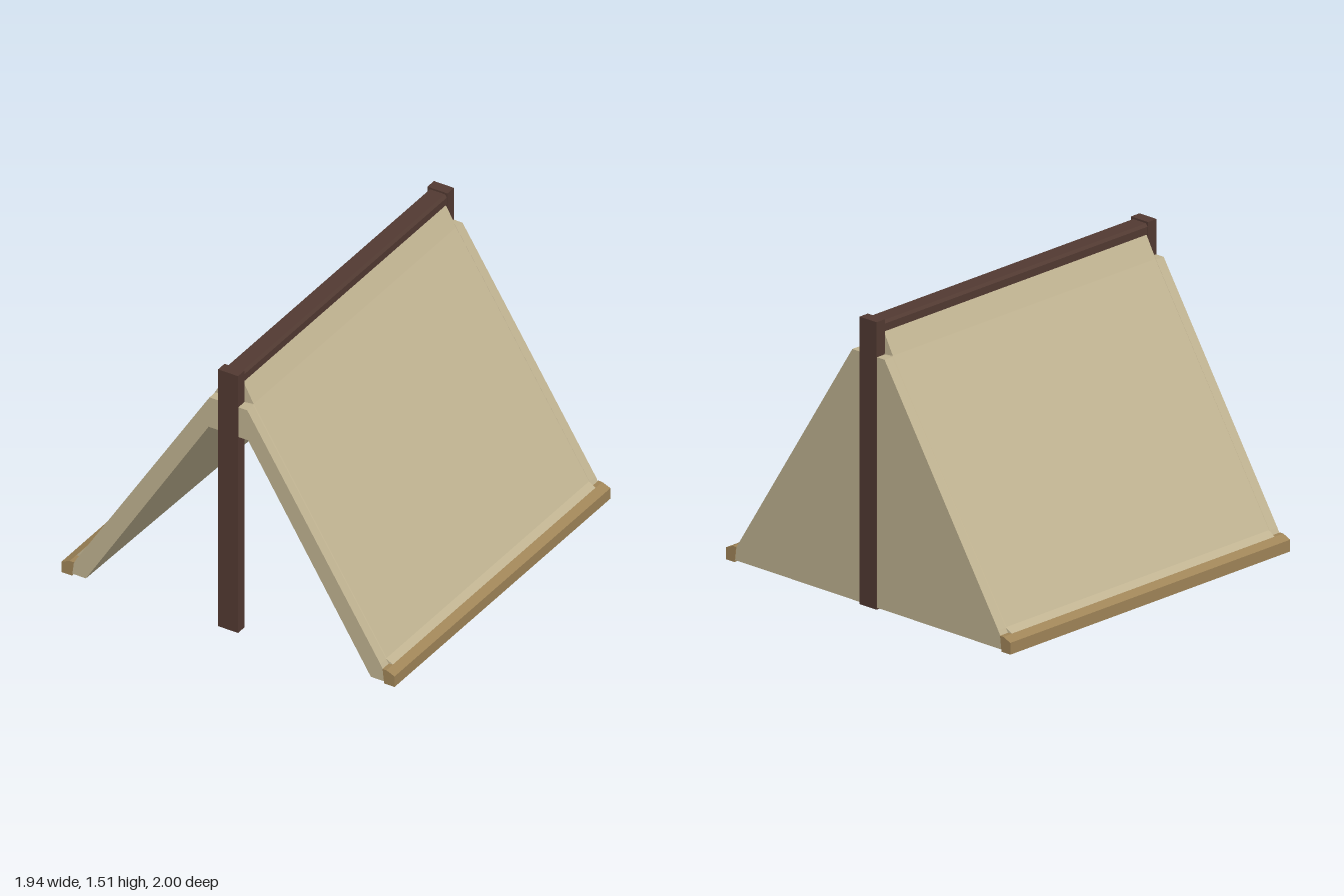
import * as THREE from 'three';

const canvas = new THREE.MeshStandardMaterial({ color: 0xc0b391 });
canvas.name = 'canvas';
const darkWood = new THREE.MeshStandardMaterial({ color: 0x523a32 });
darkWood.name = 'darkWood';
const paleWood = new THREE.MeshStandardMaterial({ color: 0xa08558 });
paleWood.name = 'paleWood';

// Completes a right-hand profile (bottom to top) with its mirrored left half
const mirrored = (half) => [...half, ...half.map(([x, y]) => [-x, y]).reverse()];
const toShape = (points) => new THREE.Shape(points.map(([x, y]) => new THREE.Vector2(x, y)));

// Skins a row of profiles [z, points], front to back, with flat faces
function loft(sections) {
  const pos = [];
  for (let s = 0; s < sections.length - 1; s++) {
    const [za, a] = sections[s];
    const [zb, b] = sections[s + 1];
    for (let i = 0; i < a.length - 1; i++) {
      pos.push(...a[i], za, ...b[i], zb, ...a[i + 1], za);
      pos.push(...a[i + 1], za, ...b[i], zb, ...b[i + 1], zb);
    }
  }
  const g = new THREE.BufferGeometry();
  g.setAttribute('position', new THREE.Float32BufferAttribute(pos, 3));
  g.computeVertexNormals();
  return g;
}

export function createModel() {
  const model = new THREE.Group();
  model.name = 'tent';
  const add = (name, geometry, material) => {
    const m = new THREE.Mesh(geometry, material);
    m.name = name;
    model.add(m);
    return m;
  };

  const END = 0.997, WALL = -0.93;
  // Canvas profiles: notched at the ends, reaching the ridge in between
  const end = mirrored([[0.91, 0.01], [0.91, 0.06], [0.885, 0.105], [0.11, 1.33], [0.05, 1.33]]);
  const mid = mirrored([[0.925, 0.01], [0.925, 0.08], [0.885, 0.107], [0.11, 1.335], [0.045, 1.455]]);
  // The inside narrows slightly towards the back wall
  const mouth = mirrored([[0.83, 0.01], [0.115, 1.155]]);
  const inner = mirrored([[0.8, 0.01], [0.1, 1.14]]);

  add('roofOutside', loft([[END, end], [0.942, end], [0.938, mid],
    [-0.938, mid], [-0.942, end], [-END, end]]), canvas);
  add('roofInside', loft([[END, [...mouth].reverse()], [WALL, [...inner].reverse()]]), canvas);

  // Front rim of the opening
  const rim = toShape([...end, ...[...mouth].reverse()]);
  add('frontRim', new THREE.ShapeGeometry(rim).translate(0, 0, END), canvas);

  // Back wall, outside and inside
  add('backWallOutside', new THREE.ShapeGeometry(toShape(end)).rotateY(Math.PI).translate(0, 0, -END), canvas);
  add('backWallInside', new THREE.ShapeGeometry(toShape(inner)).translate(0, 0, WALL), canvas);

  // Underside of the canvas walls
  const foot = toShape([[-0.92, -END], [0.92, -END], [0.92, END], [0.83, END],
    [0.8, WALL], [-0.8, WALL], [-0.83, END], [-0.92, END]]);
  add('canvasUnderside', new THREE.ShapeGeometry(foot).rotateX(Math.PI / 2).translate(0, 0.01, 0), canvas);

  // Upright poles
  for (const [name, z] of [['frontPole', 0.97], ['backPole', -0.97]]) {
    add(name, new THREE.BoxGeometry(0.116, 1.515, 0.06).translate(0, 0.7575, z), darkWood);
  }

  // Ridge pole with chamfered top
  const ridge = toShape([[-0.055, 1.45], [0.055, 1.45], [0.055, 1.49], [0.043, 1.505],
    [-0.043, 1.505], [-0.055, 1.49]]);
  add('ridgePole', new THREE.ExtrudeGeometry(ridge, { depth: 1.9, bevelEnabled: false }).translate(0, 0, -0.95), darkWood);

  // Ground beams along both sides
  const beam = toShape([[0.91, 0], [0.97, 0], [0.97, 0.062], [0.923, 0.082], [0.9, 0.082]]);
  for (const side of ['left', 'right']) {
    const g = new THREE.ExtrudeGeometry(beam, { depth: 2, bevelEnabled: false }).translate(0, 0, -1);
    if (side === 'right') g.rotateY(Math.PI);
    add(side + 'GroundBeam', g, paleWood);
  }
  return model;
}
